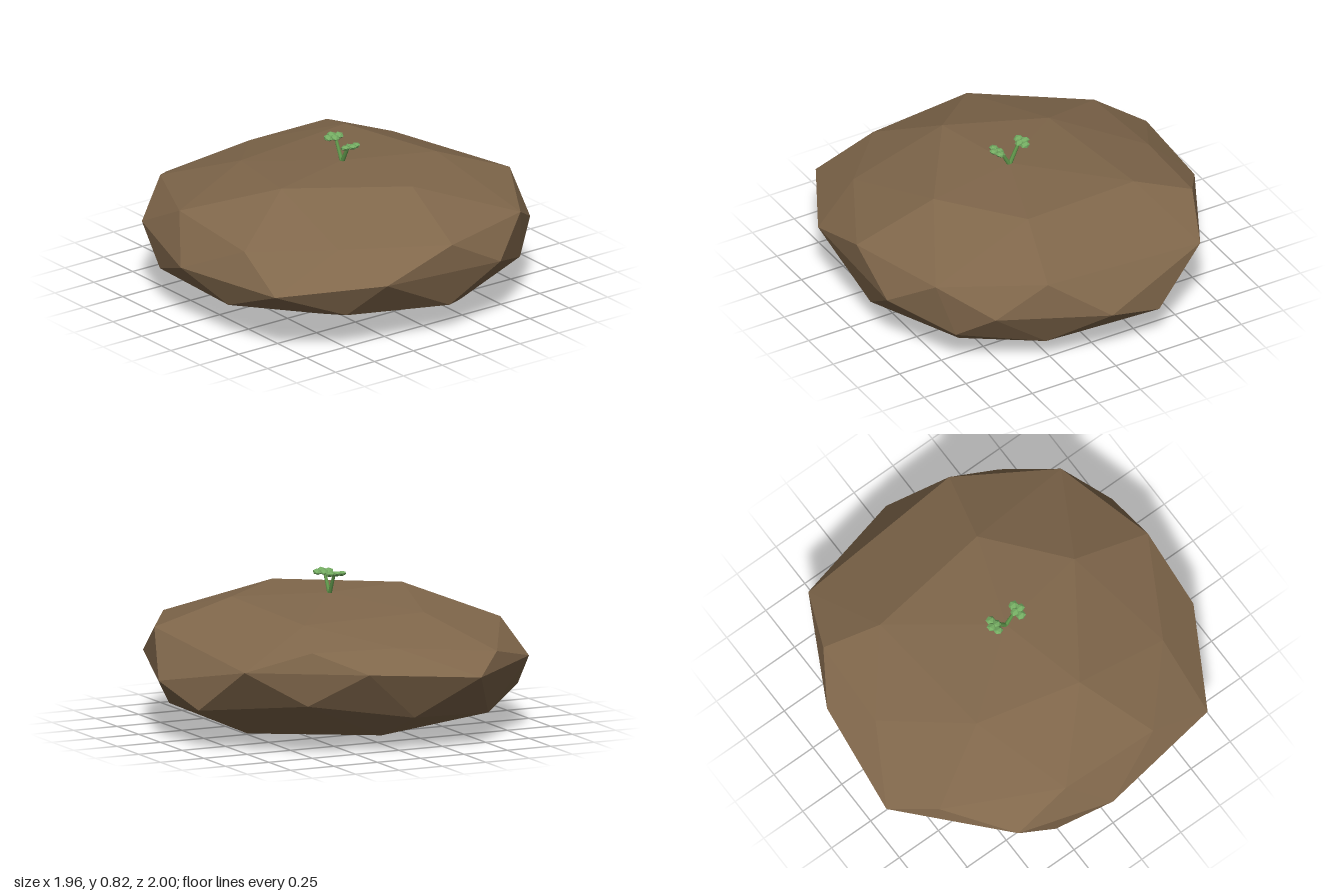
import * as THREE from 'three';
import { ConvexGeometry } from 'three/addons/geometries/ConvexGeometry.js';

// Corners of the clod, from top to bottom
const crown = [
  [0.05, 0.695, 0], [0.17, 0.69, 0.48], [0.55, 0.69, -0.08], [0.22, 0.685, -0.48],
  [-0.46, 0.64, -0.4], [-0.38, 0.635, 0.33],
];
const shoulder = [
  [-0.2, 0.54, 0.86], [0.36, 0.49, 0.86], [0.69, 0.52, 0.5], [0.975, 0.515, -0.02],
  [0.825, 0.52, -0.57], [0.33, 0.54, -0.87], [-0.75, 0.55, -0.5], [-0.77, 0.54, -0.02],
  [-0.78, 0.48, 0.55],
];
const rim = [
  [0, 0.32, 1], [0.68, 0.345, 0.9], [0.965, 0.38, 0.39], [0.975, 0.35, -0.33],
  [0.6, 0.37, -0.8], [0.02, 0.32, -1], [-0.61, 0.45, -0.82], [-0.91, 0.44, -0.25],
  [-0.98, 0.39, 0.36], [-0.51, 0.385, 0.87],
];
const underside = [
  [-0.3, 0.2, 0.91], [0.29, 0.185, 0.91], [0.8, 0.2, 0.53], [0.91, 0.155, -0.05],
  [0.74, 0.23, -0.63], [-0.3, 0.21, -0.93], [-0.74, 0.27, -0.52], [-0.83, 0.18, 0.05],
  [-0.58, 0.12, 0.6], [0.57, 0, -0.37], [0.35, 0.025, 0.36], [-0.55, 0.045, 0],
  [-0.12, 0.03, -0.56], [0.3, 0.14, -0.8],
];

export function createModel() {
  const soil = new THREE.MeshStandardMaterial({ color: 0x80674b });
  const stemGreen = new THREE.MeshStandardMaterial({ color: 0x629a4c });
  const leafGreen = new THREE.MeshStandardMaterial({ color: 0x74ac62 });
  const model = new THREE.Group();

  // Faceted clod of earth
  const corners = [...crown, ...shoulder, ...rim, ...underside].map((p) => new THREE.Vector3(...p));
  const clod = new THREE.Mesh(new ConvexGeometry(corners), soil);
  clod.name = 'earthClod';
  model.add(clod);

  // Sprout with two stems, each bearing a cluster of three leaf lobes
  const sprout = new THREE.Group();
  sprout.name = 'sprout';
  sprout.position.set(0.05, 0.685, 0);
  model.add(sprout);

  const lobeShape = new THREE.IcosahedronGeometry(1, 0);
  for (const side of [-1, 1]) {
    const height = side < 0 ? 0.11 : 0.1;
    const tip = new THREE.Vector3(side * 0.052, height, 0);
    const stem = new THREE.Mesh(new THREE.CylinderGeometry(0.009, 0.012, tip.length(), 6), stemGreen);
    stem.name = side < 0 ? 'rightStem' : 'leftStem';
    stem.position.copy(tip).multiplyScalar(0.5);
    stem.quaternion.setFromUnitVectors(new THREE.Vector3(0, 1, 0), tip.clone().normalize());
    sprout.add(stem);

    const leaf = new THREE.Group();
    leaf.name = side < 0 ? 'rightLeaf' : 'leftLeaf';
    leaf.position.copy(tip);
    leaf.rotation.z = side * 0.2;
    for (const [x, z] of [[0.04, 0], [0.022, 0.034], [0.022, -0.034], [0.01, 0]]) {
      const lobe = new THREE.Mesh(lobeShape, leafGreen);
      lobe.name = 'leafLobe';
      lobe.position.set(side * x, 0.004, z);
      lobe.scale.set(0.027, 0.015, 0.025);
      leaf.add(lobe);
    }
    sprout.add(leaf);
  }
  return model;
}
